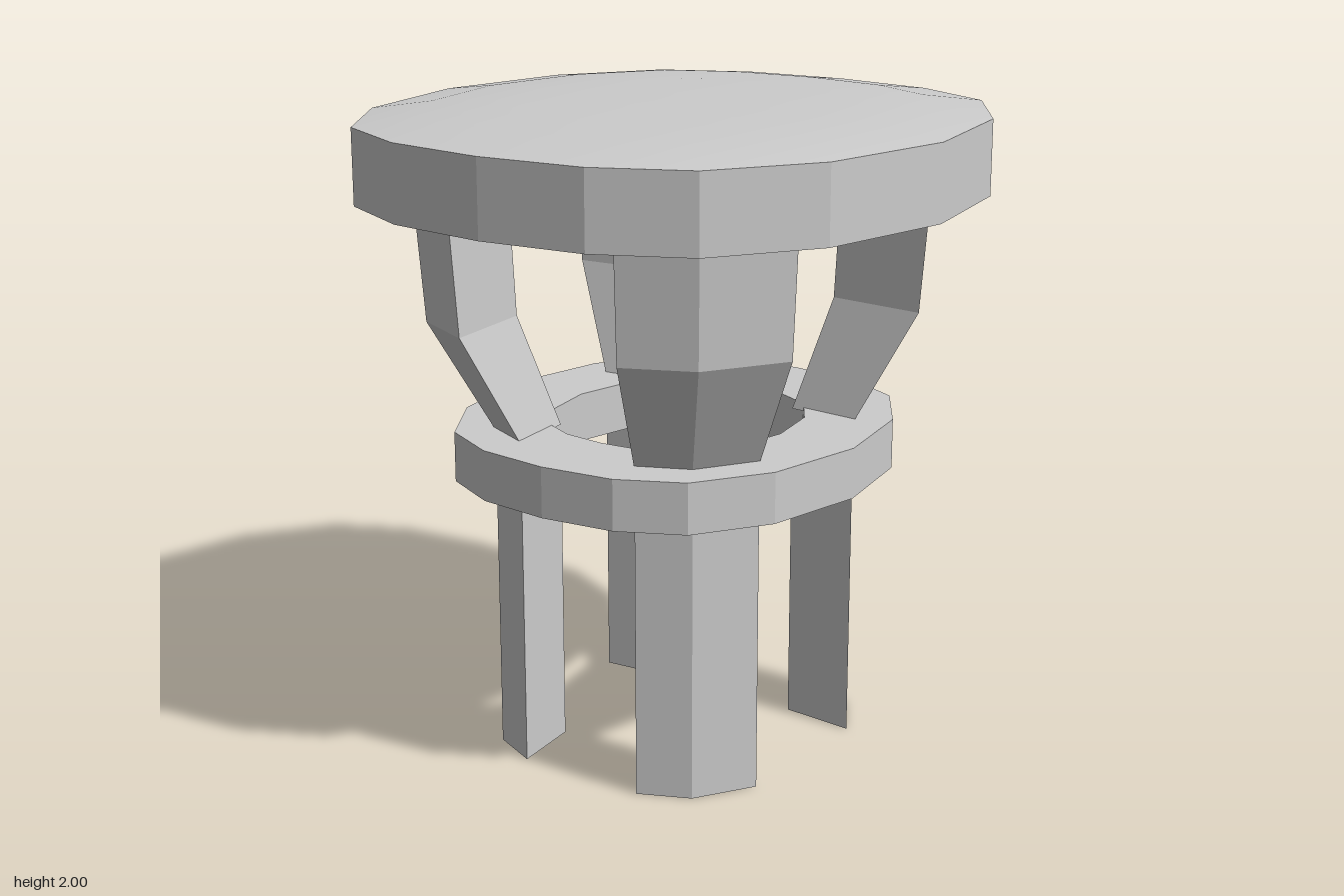
import * as THREE from 'three';

// One quarter of the sixteen-sided outline, from the side (+x) to the front (+z)
const QUARTER = [[0.9, 0], [0.815, 0.45], [0.61, 0.76], [0.335, 0.89], [0, 0.925]];
const OUTLINE = Array.from({ length: 16 }, (_, i) => {
  const k = i % 8;
  const [x, z] = QUARTER[k <= 4 ? k : 8 - k];
  return [i > 4 && i < 12 ? -x : x, i > 8 ? -z : z];
});

// Kite-shaped section of the front left leg
const KITE = [[0.475, 0.26], [0.365, 0.44], [0.21, 0.51], [0.24, 0.28]];

// Skin an outline through sections [scale, y or y(x, z)], listed from low to high
function loft(outline, sections, { capBottom = false, capTop = false, smooth = false } = {}) {
  const n = outline.length, pos = [], index = [];
  for (const [s, y] of sections) {
    for (const [x, z] of outline) {
      pos.push(x * s, typeof y === 'function' ? y(x * s, z * s) : y, z * s);
    }
  }
  for (let r = 0; r < sections.length - 1; r++) {
    for (let i = 0; i < n; i++) {
      const a = r * n + i, b = r * n + (i + 1) % n;
      index.push(a, a + n, b, b, a + n, b + n);
    }
  }
  const top = (sections.length - 1) * n;
  for (let i = 1; i < n - 1; i++) {
    if (capBottom) index.push(0, i, i + 1);
    if (capTop) index.push(top, top + i + 1, top + i);
  }
  let geo = new THREE.BufferGeometry();
  geo.setAttribute('position', new THREE.Float32BufferAttribute(pos, 3));
  geo.setIndex(index);
  if (!smooth) geo = geo.toNonIndexed();
  geo.computeVertexNormals();
  return geo;
}

export function createModel() {
  const group = new THREE.Group();
  const material = new THREE.MeshStandardMaterial({ color: 0xcccccc });
  const add = (name, geo) => {
    const mesh = new THREE.Mesh(geo, material);
    mesh.name = name;
    group.add(mesh);
    return mesh;
  };

  // Seat: upright rim, softly domed top, slightly sagging underside
  add('seatRim', loft(OUTLINE, [[1, 1.73], [1, 1.96]]));
  add('seatTop', loft(OUTLINE, [[1, 1.96], [0.8, 1.985], [0.5, 1.998], [0.15, 2]],
    { capTop: true, smooth: true }));
  const sag = (x) => 1.717 - 0.03 * x * x;
  add('seatUnderside', loft(OUTLINE, [[0.1, sag], [0.45, sag], [0.83, sag], [1, 1.73]],
    { capBottom: true, smooth: true }));

  // Ring joining the legs, with an open centre
  const scaled = (sx, sz = sx) => OUTLINE.map(([x, z]) => new THREE.Vector2(x * sx, z * sz));
  const ringShape = new THREE.Shape(scaled(0.705, 0.73));
  ringShape.holes.push(new THREE.Path(scaled(0.42)));
  const ringGeo = new THREE.ExtrudeGeometry(ringShape, { depth: 0.155, bevelEnabled: false });
  ringGeo.rotateX(-Math.PI / 2);
  add('ring', ringGeo).position.y = 0.875;

  // Four straight legs, each with a flared strut above the ring
  for (const sx of [1, -1]) {
    for (const sz of [1, -1]) {
      const section = KITE.map(([x, z]) => [x * sx, z * sz]);
      if (sx * sz < 0) section.reverse();
      const side = (sz > 0 ? 'front' : 'back') + (sx > 0 ? 'Left' : 'Right');
      add(side + 'Leg', loft(section, [[1, 0], [1, 0.9]], { capBottom: true, capTop: true }));
      add(side + 'Strut', loft(section, [[1, 1.02], [1.35, 1.37], [1.4, 1.75]],
        { capBottom: true, capTop: true }));
    }
  }
  return group;
}
